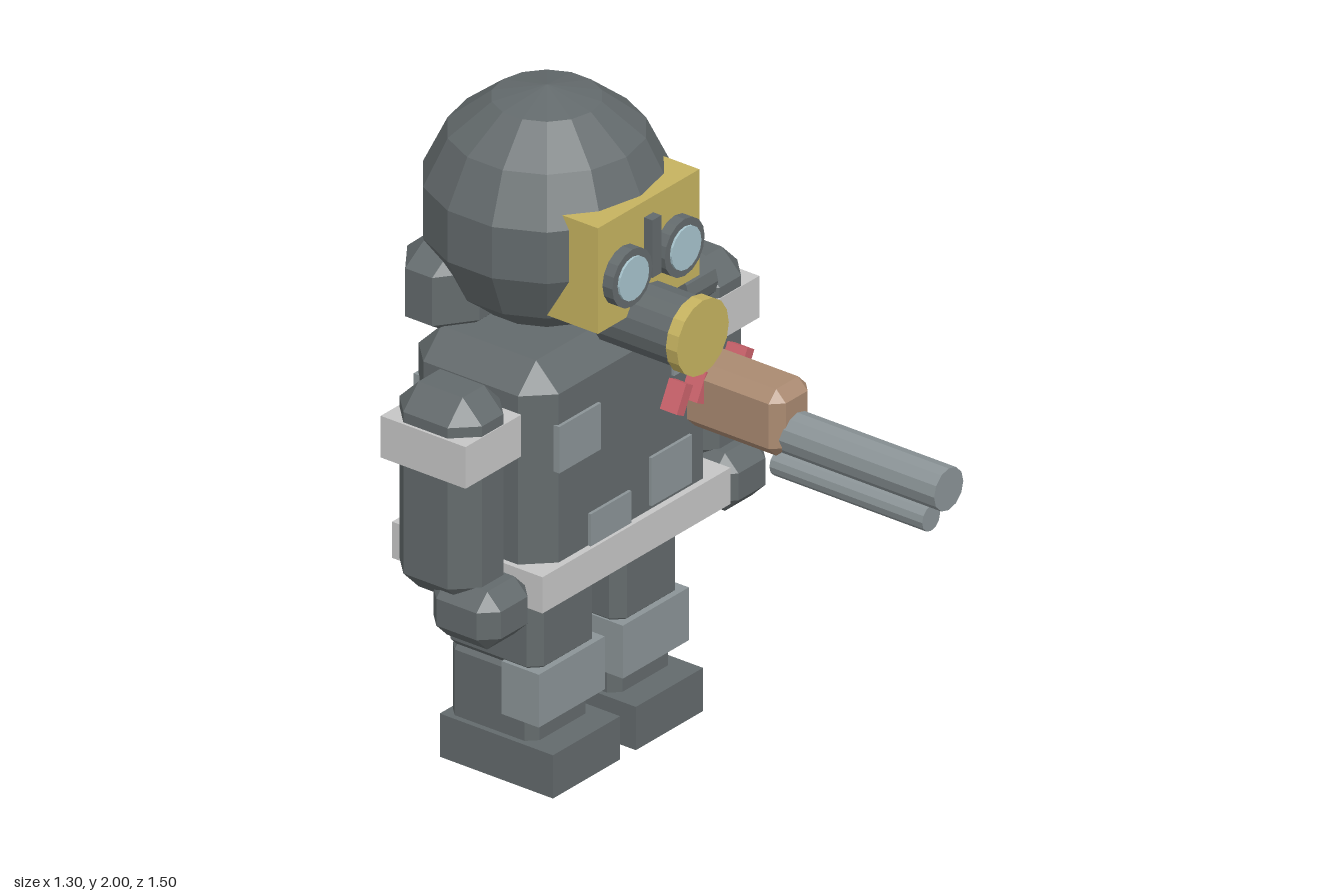
import * as THREE from 'three';
import { ConvexGeometry } from 'three/addons/geometries/ConvexGeometry.js';

const material = (name, color) => {
  const m = new THREE.MeshStandardMaterial({ color });
  m.name = name;
  m.flatShading = true;
  return m;
};

export function createModel() {
  const model = new THREE.Group();
  const suit = material('dark suit', 0x636a6c);
  const steel = material('steel grey', 0x8b9497);
  const trim = material('light trim', 0xc6c6c6);
  const gold = material('mask yellow', 0xc6b360);
  const wood = material('wood brown', 0xaa8a71);
  const red = material('shell red', 0xca626b);
  const glass = material('lens blue', 0xa7c4cd);

  const add = (name, geometry, mat, x = 0, y = 0, z = 0) => {
    const mesh = new THREE.Mesh(geometry, mat);
    mesh.name = name;
    mesh.position.set(x, y, z);
    model.add(mesh);
    return mesh;
  };

  // Plain box given by its [min, max] range on each axis
  const box = (name, mat, [x0, x1], [y0, y1], [z0, z1]) =>
    add(name, new THREE.BoxGeometry(x1 - x0, y1 - y0, z1 - z0), mat,
      (x0 + x1) / 2, (y0 + y1) / 2, (z0 + z1) / 2);

  // Box with all edges and corners cut; c is the cut along each axis
  const cutBox = (name, mat, xs, ys, zs, c) => {
    const cut = Array.isArray(c) ? c : [c, c, c];
    const ranges = [xs, ys, zs];
    const half = ranges.map(([a, b]) => (b - a) / 2);
    const points = [];
    for (const sx of [-1, 1]) for (const sy of [-1, 1]) for (const sz of [-1, 1]) {
      for (let full = 0; full < 3; full++) {
        const p = [sx, sy, sz].map((s, i) => s * (half[i] - (i === full ? 0 : cut[i])));
        points.push(new THREE.Vector3(...p));
      }
    }
    return add(name, new ConvexGeometry(points), mat,
      ...ranges.map(([a, b]) => (a + b) / 2));
  };

  // Cylinder lying along z between two depths
  const rod = (name, mat, radius, sides, x, y, z0, z1) => {
    const g = new THREE.CylinderGeometry(radius, radius, z1 - z0, sides);
    g.rotateX(Math.PI / 2);
    return add(name, g, mat, x, y, (z0 + z1) / 2);
  };

  // Hooded head and the neck roll behind it
  const head = new THREE.SphereGeometry(0.36, 14, 7);
  head.rotateY(Math.PI / 2);
  add('head', head, suit, 0, 1.64, -0.397);
  cutBox('neckRoll', suit, [-0.355, 0.355], [1.28, 1.57], [-0.695, -0.44], [0.11, 0.07, 0.08]);

  // Gas mask
  box('maskPlate', gold, [-0.225, 0.225], [1.43, 1.76], [-0.25, -0.037]);
  box('maskBridge', suit, [-0.02, 0.02], [1.53, 1.71], [-0.05, -0.008]);
  for (const s of [-1, 1]) {
    rod('eyeRing', suit, 0.089, 16, s * 0.116, 1.572, -0.05, -0.002);
    rod('eyeLens', glass, 0.066, 16, s * 0.116, 1.572, -0.003, 0.005);
  }
  rod('maskFilter', suit, 0.106, 16, 0, 1.39, -0.15, 0.117);
  rod('filterCap', gold, 0.115, 16, 0, 1.39, 0.115, 0.155);

  // Small canister beside the mask
  const canister = new THREE.CylinderGeometry(0.07, 0.07, 0.13, 12);
  canister.rotateZ(Math.PI / 2);
  add('sideCanister', canister, suit, 0.243, 1.378, -0.106);

  // Torso, belt and patches that show on both front and back
  cutBox('torso', suit, [-0.4, 0.4], [0.61, 1.34], [-0.595, -0.1], 0.08);
  box('belt', trim, [-0.417, 0.417], [0.622, 0.735], [-0.612, -0.08]);
  const patches = [
    [-0.33, -0.145, 1.02, 1.165], [0.18, 0.36, 1.115, 1.275],
    [0.08, 0.26, 0.75, 0.9], [-0.19, -0.01, 0.69, 0.835],
  ];
  for (const [x0, x1, y0, y1] of patches) {
    box('patch', steel, [x0, x1], [y0, y1], [-0.605, -0.09]);
  }

  // Arms and legs
  for (const s of [-1, 1]) {
    const side = (a, b) => (s > 0 ? [a, b] : [-b, -a]);
    cutBox('arm', suit, side(0.412, 0.643), [0.67, 1.31], [-0.46, -0.168], 0.068);
    box('armBand', trim, side(0.405, 0.652), [1.08, 1.21], [-0.465, -0.165]);
    cutBox('hand', suit, side(0.42, 0.635), [0.56, 0.74], [-0.33, -0.092], 0.048);
    cutBox('upperLeg', suit, side(0.042, 0.325), [0.34, 0.68], [-0.512, -0.175], 0.035);
    cutBox('lowerLeg', suit, side(0.052, 0.315), [0.1, 0.37], [-0.502, -0.195], 0.03);
    box('kneePad', steel, side(0.04, 0.333), [0.205, 0.37], [-0.292, -0.16]);
    box('boot', suit, side(0.035, 0.333), [0, 0.135], [-0.51, -0.11]);
  }

  // Gun slung at the left side
  cutBox('gunStock', wood, [0.25, 0.415], [0.915, 1.123], [-0.24, 0.222], 0.034);
  rod('gunBarrel', steel, 0.065, 12, 0.335, 0.975, 0.15, 0.757);
  rod('gunTube', steel, 0.04, 12, 0.335, 0.865, 0.155, 0.695);

  // Slanted shells across the chest
  for (const x of [0.165, 0.255, 0.345, 0.437]) {
    const shell = add('shell', new THREE.BoxGeometry(0.035, 0.09, 0.07), red, x, 1.063, -0.075);
    shell.rotation.z = -0.48;
  }

  return model;
}
